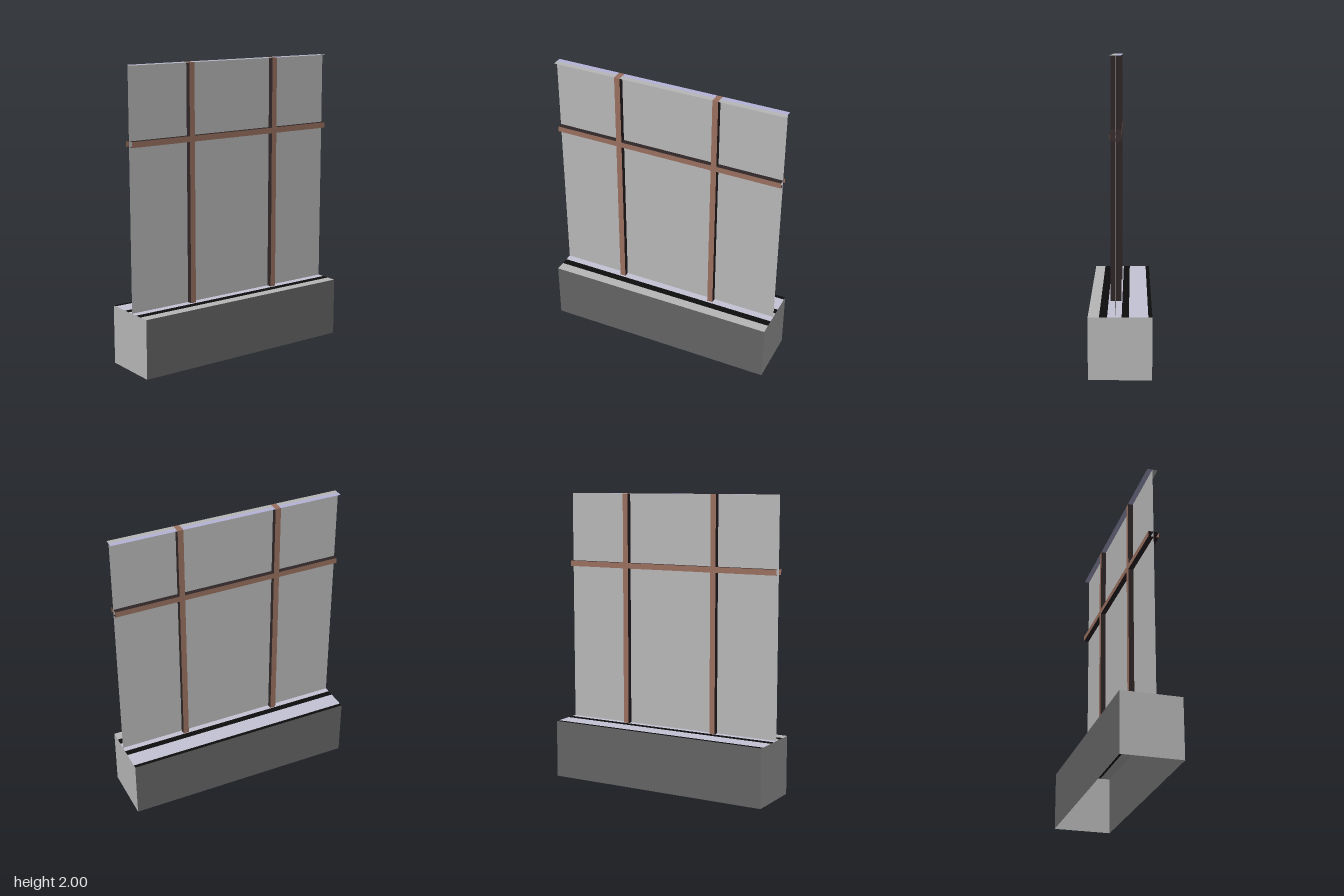
import * as THREE from 'three';

const material = (name, color) => {
  const m = new THREE.MeshStandardMaterial({ color, side: THREE.DoubleSide });
  m.name = name;
  return m;
};

export function createModel() {
  const model = new THREE.Group();
  model.name = 'windowPanelOnPlinth';

  const grey = material('paleGrey', 0xb8b8b8);
  const charcoal = material('charcoal', 0x646464);
  const brown = material('bronzeBrown', 0x99705f);
  const darkBrown = material('darkBrown', 0x2f2627);
  const black = material('black', 0x0d0d0d);
  const lavender = material('lavender', 0xb5b4da);
  const sill = material('paleLavender', 0xc6c4d6);

  // Thin faces, each lying across one axis
  const add = (group, name, mat, geo, x, y, z) => {
    const mesh = new THREE.Mesh(geo, mat);
    mesh.name = name;
    mesh.position.set(x, y, z);
    group.add(mesh);
  };
  const faceZ = (g, name, mat, x0, x1, y0, y1, z, back = false) => {
    const geo = new THREE.PlaneGeometry(x1 - x0, y1 - y0);
    if (back) geo.rotateY(Math.PI);
    add(g, name, mat, geo, (x0 + x1) / 2, (y0 + y1) / 2, z);
  };
  const faceX = (g, name, mat, x, y0, y1, z0, z1, side) =>
    add(g, name, mat, new THREE.PlaneGeometry(z1 - z0, y1 - y0).rotateY(side * Math.PI / 2),
      x, (y0 + y1) / 2, (z0 + z1) / 2);
  const faceY = (g, name, mat, x0, x1, y, z0, z1, up = 1) =>
    add(g, name, mat, new THREE.PlaneGeometry(x1 - x0, z1 - z0).rotateX(-up * Math.PI / 2),
      (x0 + x1) / 2, y, (z0 + z1) / 2);
  const part = (name) => {
    const g = new THREE.Group();
    g.name = name;
    model.add(g);
    return g;
  };

  const W = 0.8, D = 0.2, baseTop = 0.4, top = 2;
  const zBack = -0.005, zFront = 0.066, zGlass = 0.03;
  const barLow = 1.487, barHigh = 1.525;
  const mullions = [[-0.36, -0.321], [0.321, 0.36]];
  const bays = [[-W, -0.36], [-0.321, 0.321], [0.36, W]];

  // Plinth: open underneath, with a striped top
  const plinth = part('plinth');
  faceZ(plinth, 'plinthFront', charcoal, -W, W, 0, baseTop, D);
  faceZ(plinth, 'plinthBack', charcoal, -W, W, 0, baseTop, -D, true);
  for (const s of [-1, 1]) faceX(plinth, 'plinthEnd', grey, s * W, 0, baseTop, -D, D, s);
  [
    ['backEdgeStripe', black, -0.2, -0.175],
    ['backLedge', sill, -0.175, -0.055],
    ['backStripe', black, -0.055, -0.01],
    ['middleLedge', sill, -0.01, 0.08],
    ['frontStripe', black, 0.08, 0.13],
    ['frontLedge', grey, 0.13, 0.2],
  ].forEach(([name, mat, z0, z1]) => faceY(plinth, name, mat, -W, W, baseTop, z0, z1));

  // Single sheet of glazing
  faceZ(part('glazing'), 'glassSheet', grey, -W, W, baseTop, top, zGlass);

  // Upright mullions, with their sides interrupted where the crossbar passes
  const uprights = part('mullions');
  for (const [x0, x1] of mullions) {
    faceZ(uprights, 'mullionFront', brown, x0, x1, baseTop, top, zFront);
    faceZ(uprights, 'mullionBack', brown, x0, x1, baseTop, top, zBack, true);
    faceY(uprights, 'mullionCap', brown, x0, x1, top, zBack, zFront);
    for (const [y0, y1] of [[baseTop, barLow], [barHigh, top]]) {
      faceX(uprights, 'mullionSide', darkBrown, x0, y0, y1, zBack, zFront, -1);
      faceX(uprights, 'mullionSide', darkBrown, x1, y0, y1, zBack, zFront, 1);
    }
  }

  // Hollow crossbar and the head strip, bay by bay
  const crossbar = part('crossbar');
  const head = part('headStrip');
  for (const [x0, x1] of bays) {
    faceZ(crossbar, 'crossbarFront', brown, x0, x1, barLow, barHigh, zFront);
    faceZ(crossbar, 'crossbarBack', brown, x0, x1, barLow, barHigh, zBack, true);
    faceY(crossbar, 'crossbarTop', darkBrown, x0, x1, barHigh, zBack, zFront);
    faceY(crossbar, 'crossbarUnderside', darkBrown, x0, x1, barLow, zBack, zFront, -1);
    faceY(head, 'headBack', lavender, x0, x1, top, zBack, zGlass);
    faceY(head, 'headFront', grey, x0, x1, top, zGlass, zFront);
  }

  return model;
}
